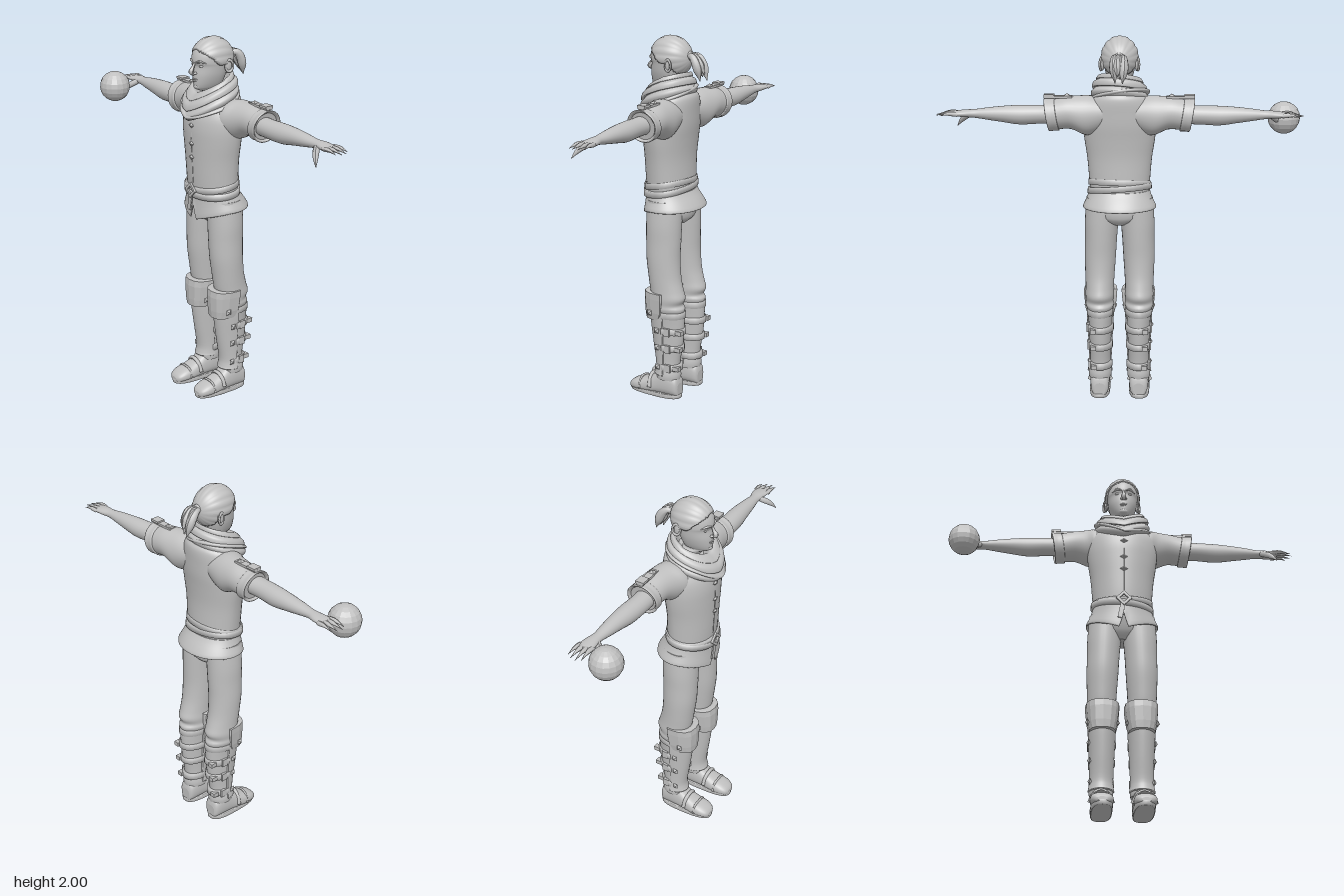
import * as THREE from 'three';

const grey = new THREE.MeshStandardMaterial({ color: 0xc0c0c0 });
grey.name = 'plain grey';
const V = (x, y, z) => new THREE.Vector3(x, y, z);

// Smoothly interpolate rows of numbers
function refine(rows, sub) {
  const out = [], at = i => rows[Math.min(rows.length - 1, Math.max(0, i))];
  for (let i = 0; i < rows.length - 1; i++) {
    const [a, b, c, d] = [at(i - 1), at(i), at(i + 1), at(i + 2)];
    for (let s = 0; s < sub; s++) {
      const t = s / sub;
      out.push(b.map((_, k) => b[k] + 0.5 * t * (c[k] - a[k] + t * (2 * a[k] - 5 * b[k] + 4 * c[k] - d[k] + t * (3 * (b[k] - c[k]) + d[k] - a[k])))));
    }
  }
  return [...out, rows.at(-1)];
}

// Stack of rounded sections; row = [height, centre x, centre z, half width, depth to front, depth to back]
function loft(rows, { seg = 28, sub = 4, e = 1, move } = {}) {
  const list = refine(rows, sub), pos = [], idx = [];
  const pw = v => Math.sign(v) * Math.abs(v) ** e;
  const put = (x, y, z) => {
    const p = V(x, y, z);
    if (move) move(p);
    pos.push(p.x, p.y, p.z);
  };
  const ring = ([y, cx, cz, rx, f, b]) => {
    for (let j = 0; j < seg; j++) {
      const a = j / seg * Math.PI * 2, c = Math.cos(a);
      put(cx + rx * pw(Math.sin(a)), y, cz + (c > 0 ? f : b) * pw(c));
    }
  };
  list.forEach(ring);
  for (let i = 0; i < list.length - 1; i++) for (let j = 0; j < seg; j++) {
    const a = i * seg + j, b = i * seg + (j + 1) % seg;
    idx.push(a, b, b + seg, a, b + seg, a + seg);
  }
  [list[0], list.at(-1)].forEach((r, top) => {
    const s = pos.length / 3;
    ring(r);
    put(r[1], r[0], r[2]);
    for (let j = 0; j < seg; j++) {
      const a = s + j, b = s + (j + 1) % seg;
      idx.push(s + seg, top ? a : b, top ? b : a);
    }
  });
  const g = new THREE.BufferGeometry();
  g.setAttribute('position', new THREE.Float32BufferAttribute(pos, 3));
  g.setIndex(idx);
  g.computeVertexNormals();
  return g;
}
const alongX = p => p.set(p.y, -p.x, p.z);
const alongZ = p => p.set(p.x, -p.z, p.y);

// Tube whose radius follows a list of radii
function taper(points, radii, rad = 8, n = 14) {
  const curve = new THREE.CatmullRomCurve3(points.map(p => V(...p)));
  const g = new THREE.TubeGeometry(curve, n, 1, rad), p = g.attributes.position;
  const rr = refine(radii.map(r => [r]), n), v = V();
  for (let i = 0; i <= n; i++) {
    const c = curve.getPointAt(i / n), r = rr[Math.round(i / n * (rr.length - 1))][0];
    for (let j = 0; j <= rad; j++) {
      const k = i * (rad + 1) + j;
      v.fromBufferAttribute(p, k).sub(c).multiplyScalar(Math.max(r, 0.0005)).add(c);
      p.setXYZ(k, v.x, v.y, v.z);
    }
  }
  g.computeVertexNormals();
  return g;
}
const flat = g => {
  const f = g.index ? g.toNonIndexed() : g;
  f.computeVertexNormals();
  return f;
};
const box = (w, h, d, x, y, z) => new THREE.BoxGeometry(w, h, d).translate(x, y, z);
const ball = (x, y, z, a, b, c) => new THREE.SphereGeometry(1, 16, 12).scale(a, b, c).translate(x, y, z);
const stud = (x, y, z, s, d) => flat(new THREE.OctahedronGeometry(1)).rotateX(Math.PI / 4).scale(d, s, s).translate(x, y, z);

function mirrored(g) {
  const m = g.clone().scale(-1, 1, 1);
  const src = g.index ? [...g.index.array] : [...Array(g.attributes.position.count).keys()];
  for (let i = 0; i < src.length; i += 3) [src[i], src[i + 1]] = [src[i + 1], src[i]];
  m.setIndex(src);
  return m;
}

export function createModel() {
  const model = new THREE.Group();
  const add = (name, g) => {
    const m = new THREE.Mesh(g, grey);
    m.name = name;
    model.add(m);
  };
  const both = (name, g) => { add('left ' + name, g); add('right ' + name, mirrored(g)); };

  // Head and neck
  add('head', loft([[1.6, 0, 0, .06, .05, .07], [1.7, 0, .005, .055, .05, .065], [1.728, 0, .02, .04, .088, .06], [1.742, 0, .02, .05, .101, .06],
    [1.77, 0, .02, .064, .106, .07], [1.81, 0, .02, .077, .106, .085], [1.855, 0, .02, .084, .1, .1], [1.878, 0, .02, .087, .108, .11],
    [1.92, 0, .02, .085, .1, .11], [1.96, 0, .02, .065, .075, .09], [1.985, 0, .02, .03, .03, .04]], { seg: 36 }));
  add('nose', taper([[0, 1.875, .122], [0, 1.85, .135], [0, 1.826, .146], [0, 1.814, .128]], [.006, .008, .013, .008]));
  add('upper lip', ball(0, 1.787, .122, .022, .005, .008));
  add('lower lip', ball(0, 1.777, .121, .018, .006, .008));
  add('chin', ball(0, 1.747, .108, .024, .016, .018));
  both('nostril', ball(.011, 1.82, .127, .008, .007, .01));
  both('eye', ball(.034, 1.86, .106, .014, .008, .01));
  both('eyebrow', taper([[.01, 1.875, .127], [.035, 1.884, .12], [.065, 1.876, .094]], [.004, .007, .002]));
  both('ear', ball(.09, 1.853, -.028, .01, .034, .02).rotateY(0));
  both('ear rim', new THREE.TorusGeometry(.021, .006, 6, 16).scale(1, 1.45, 1).rotateY(Math.PI / 2 - .3).translate(.098, 1.855, -.011).translate(0, 0, -.018));

  // Swept back hair, tucked into the head below the hairline
  const hair = new THREE.SphereGeometry(1, 96, 40).rotateX(Math.PI / 2), hp = hair.attributes.position;
  for (let i = 0; i < hp.count; i++) {
    const x = hp.getX(i), y = hp.getY(i), z = hp.getZ(i);
    const r = 1 + .035 * Math.abs(Math.cos(8 * Math.atan2(y, x))) * Math.hypot(x, y) - .02;
    const wz = .01 + z * .122, wy = 1.885 + y * .114 * r;
    const line = wz > .03 ? 1.862 + (wz - .03) * .85 : 1.79 + .072 * THREE.MathUtils.smoothstep(wz, -.07, -.01);
    const k = wy < line ? .72 : 1;
    hp.setXYZ(i, x * .1 * r * k, 1.885 + y * .114 * r * k, .01 + z * .122 * k);
  }
  hair.computeVertexNormals();
  add('hair', hair);
  add('hair tie', new THREE.TorusGeometry(.02, .009, 8, 18).rotateX(.4).translate(0, 1.898, -.115));
  for (const [i, x] of [-.024, -.008, .008, .024].entries())
    add('ponytail strand', taper([[x * .4, 1.9, -.1], [x, 1.9, -.135], [x * 1.1, 1.865, -.165 + .006 * (i % 2)], [x * .8, 1.775 + .018 * (i % 3), -.2 + .02 * (i % 2)]], [.012, .022, .023, .002]));

  // Scarf, lower in front with a soft point
  const drape = p => {
    p.y -= p.z * (p.z > 0 ? .38 : .3);
    if (p.z > 0) p.y -= .03 * Math.max(0, 1 - Math.abs(p.x) / .13);
    p.y += p.x * .08;
  };
  add('scarf', loft([[1.65, 0, .015, .1, .1, .1], [1.66, 0, .015, .142, .15, .125], [1.69, 0, .015, .155, .167, .14], [1.715, 0, .015, .134, .146, .122],
    [1.718, 0, .015, .148, .162, .135], [1.745, 0, .015, .143, .155, .13], [1.76, 0, .015, .122, .132, .112], [1.763, 0, .015, .128, .138, .116],
    [1.785, 0, .01, .112, .112, .105], [1.775, 0, .01, .09, .088, .09], [1.72, 0, .005, .06, .055, .07]], { seg: 44, move: drape }));
  add('scarf fold', loft([[1.672, 0, .015, .13, .15, .12], [1.682, 0, .015, .16, .17, .142], [1.696, 0, .015, .155, .166, .138], [1.7, 0, .015, .13, .14, .12]],
    { seg: 44, move: p => { drape(p); p.y -= p.x * .22; } }));

  // Jacket
  add('jacket', loft([[1.12, 0, 0, .158, .125, .11], [1.23, 0, 0, .165, .136, .11], [1.35, 0, 0, .175, .142, .108], [1.45, 0, 0, .19, .146, .116],
    [1.53, 0, 0, .196, .146, .126], [1.6, 0, 0, .188, .132, .13], [1.66, 0, -.01, .165, .1, .122], [1.692, 0, -.025, .13, .07, .1], [1.715, 0, -.03, .07, .04, .07]], { seg: 40 }));
  add('jacket skirt', loft([[1.17, 0, 0, .164, .134, .114], [1.12, 0, -.005, .178, .14, .14], [1.06, 0, -.01, .198, .15, .163], [1.055, 0, -.01, .19, .142, .155], [1.12, 0, 0, .16, .12, .12]].reverse(), {
    seg: 96, sub: 3, move: p => {
      const w = THREE.MathUtils.clamp((1.15 - p.y) / .09, 0, 1), front = THREE.MathUtils.smoothstep(p.z, -.06, .08);
      p.y += w * (.025 - front * .065 * (1 - Math.abs(p.x) / .2));
      if (p.z > 0) p.y += w * .09 * Math.max(0, 1 - Math.abs(p.x) / .022);
    } }));
  [1.54, 1.44, 1.365].forEach(y => add('jacket clasp', flat(new THREE.OctahedronGeometry(1)).scale(.022, .014, .012).translate(0, y, .146)));
  add('front seam', loft([[1.22, 0, .134, .003, .004, .01], [1.35, 0, .14, .003, .004, .01], [1.47, 0, .145, .003, .004, .01], [1.57, 0, .137, .003, .004, .01]], { seg: 8 }));

  // Belts and buckle
  const belt = (y, h, r, tilt, lean) => loft([[y - h, 0, .002, .15, .12, .1], [y - h, 0, .002, .168 + r, .142 + r, .118 + r], [y + h, 0, .002, .166 + r, .142 + r, .116 + r], [y + h, 0, .002, .15, .12, .1]],
    { seg: 40, sub: 1, move: p => { p.y -= p.z * tilt - p.x * lean; } });
  add('upper belt', belt(1.208, .016, .002, .18, .03));
  add('lower belt', belt(1.18, .016, .007, .12, -.08));
  const diamond = new THREE.Shape([[0, -.044], [.044, 0], [0, .044], [-.044, 0]].map(p => new THREE.Vector2(...p)));
  diamond.holes.push(new THREE.Path([[0, -.024], [-.024, 0], [0, .024], [.024, 0]].map(p => new THREE.Vector2(...p))));
  add('belt buckle', new THREE.ExtrudeGeometry(diamond, { depth: .012, bevelEnabled: false }).translate(0, 1.182, .147));
  add('belt tail', box(.026, .1, .008, 0, 0, 0).rotateZ(-.2).translate(-.012, 1.115, .148));

  // Sleeves with cuffs and shoulder straps
  const sleeve = rows => loft(rows, { seg: 32, move: p => { alongX(p); p.x += (p.y - 1.59) * .16; } });
  both('sleeve', sleeve([[.06, -1.6, -.03, .07, .08, .08], [.14, -1.588, -.035, .1, .112, .092], [.2, -1.584, -.045, .105, .098, .09], [.27, -1.598, -.052, .086, .084, .086],
    [.34, -1.59, -.055, .08, .08, .082], [.375, -1.588, -.055, .083, .084, .084]]));
  both('sleeve cuff', sleeve([[.332, -1.589, -.055, .075, .075, .077], [.335, -1.589, -.055, .086, .086, .087], [.36, -1.588, -.055, .085, .086, .087], [.384, -1.588, -.055, .088, .089, .089],
    [.385, -1.588, -.055, .078, .079, .079], [.35, -1.588, -.055, .06, .06, .06]]));
  both('shoulder strap', box(.15, .012, .038, .325, 1.685, -.06));
  both('shoulder strap loop', box(.055, .012, .048, .372, 1.693, -.06));
  both('shoulder strap stud', stud(0, 0, 0, .022, .012).rotateZ(Math.PI / 2).translate(.278, 1.692, -.06));

  // Arms and hands
  both('arm', loft([[.3, -1.59, -.05, .05, .055, .055], [.42, -1.588, -.045, .05, .053, .053], [.53, -1.586, -.05, .052, .052, .054], [.62, -1.59, -.054, .043, .045, .046],
    [.7, -1.592, -.056, .033, .037, .037], [.77, -1.593, -.058, .023, .029, .029], [.82, -1.594, -.062, .02, .036, .037], [.865, -1.593, -.062, .015, .042, .042], [.89, -1.592, -.062, .01, .038, .038]],
    { seg: 24, move: alongX }));
  [[-.097, -.106, .952], [-.074, -.08, .972], [-.05, -.05, .976], [-.028, -.024, .962]].forEach(([z0, z1, x]) =>
    both('finger', taper([[.86, 1.593, z0], [.91, 1.596, (z0 + z1) / 2], [x, 1.586, z1]], [.012, .0115, .006, .001])));
  both('thumb', taper([[.8, 1.588, -.04], [.83, 1.565, -.008], [.855, 1.54, .013], [.876, 1.512, .028]], [.015, .017, .012, .002]));

  // Ball under the right hand
  add('ball', flat(new THREE.SphereGeometry(.087, 16, 10)).translate(-.883, 1.557, .065));

  // Trousers
  add('trouser seat', loft([[.985, 0, -.005, .05, .05, .07], [1.03, 0, -.005, .15, .09, .11], [1.14, 0, 0, .16, .12, .11]]));
  both('trouser leg', loft([[1.13, .09, 0, .09, .09, .105], [1.0, .098, 0, .092, .093, .106], [.9, .102, 0, .088, .092, .104], [.8, .106, -.002, .086, .09, .1], [.7, .108, -.01, .081, .085, .1],
    [.63, .109, -.02, .078, .085, .107], [.585, .109, -.025, .079, .08, .115], [.55, .109, -.025, .076, .08, .1], [.525, .108, -.025, .078, .08, .113], [.49, .108, -.03, .064, .075, .095]].reverse(), { seg: 30 }));

  // Gaiters, shin and knee guards
  both('gaiter', loft([[.11, .108, -.035, .062, .06, .075], [.14, .108, -.035, .064, .064, .078], [.2, .107, -.035, .056, .058, .072], [.32, .106, -.035, .06, .075, .092],
    [.43, .106, -.035, .065, .09, .1], [.505, .107, -.035, .07, .095, .1], [.51, .107, -.035, .055, .07, .08]], { seg: 30 }));
  both('shin guard', loft([[.135, .108, -.037, .05, .05, .01], [.137, .108, -.037, .069, .077, .01], [.155, .108, -.037, .067, .073, .01], [.2, .107, -.037, .063, .069, .01], [.32, .106, -.037, .067, .088, .01],
    [.45, .106, -.037, .074, .106, .01], [.5, .106, -.037, .075, .108, .01]], { seg: 36 }));
  both('knee guard', flat(loft([[.455, .105, -.01, .058, .06, .01], [.458, .105, -.01, .072, .1, .01], [.5, .105, -.03, .082, .125, .01], [.58, .104, -.038, .091, .136, .01],
    [.615, .104, -.038, .092, .132, .01], [.618, .104, -.038, .078, .115, .01]], { seg: 16, sub: 1, e: .75 })));
  both('knee stud', stud(.186, .5, .035, .021, .012));
  both('inner knee stud', stud(.024, .5, .035, .018, .01));

  // Straps with studs and buckles
  [[.4, .069, .098], [.3, .064, .09], [.185, .061, .078]].forEach(([y, rx, b]) => {
    both('leg strap', loft([[y - .017, .106, -.035, rx - .01, .01, b - .01], [y - .017, .106, -.035, rx + .006, .02, b + .01], [y + .017, .106, -.035, rx + .006, .02, b + .01], [y + .017, .106, -.035, rx - .01, .01, b - .01]], { seg: 24, sub: 1 }));
    both('guard stud', stud(.108 + rx, y, -.003, .021, .012));
    both('strap buckle', box(.014, .044, .034, .104 + rx, y, -.068));
    both('strap tip', box(.03, .024, .036, .106 + rx * .55, y, -.034 - b));
  });
  both('upper strap', loft([[.475, .107, -.035, .06, .02, .09], [.475, .107, -.035, .074, .03, .106], [.51, .107, -.035, .074, .03, .106], [.51, .107, -.035, .06, .02, .09]], { seg: 24, sub: 1 }));

  // Shoes
  both('shoe', loft([[-.115, .108, -.06, .03, .05, .03], [-.1, .108, -.07, .048, .06, .06], [-.04, .109, -.08, .054, .07, .08], [.01, .11, -.07, .054, .06, .075], [.05, .111, -.055, .056, .045, .06],
    [.1, .112, -.045, .06, .035, .046], [.15, .112, -.04, .058, .03, .036], [.185, .112, -.034, .044, .024, .022], [.198, .112, -.03, .024, .014, .01]], { seg: 28, e: .8, move: alongZ }));
  both('sole', loft([[0, .11, .03, .052, .16, .14], [.003, .11, .03, .056, .168, .149], [.024, .11, .03, .058, .171, .151], [.026, .11, .03, .052, .16, .14]], { seg: 32, sub: 1, e: .72 }));
  both('shoe strap', taper([[.05, .05, .05], [.075, .1, .055], [.112, .119, .06], [.15, .1, .055], [.172, .05, .05]], [.011, .011, .011]));
  both('toe cap seam', taper([[.05, .03, .115], [.07, .078, .118], [.112, .09, .122], [.155, .078, .118], [.173, .03, .115]], [.006, .006, .006]));
  return model;
}
